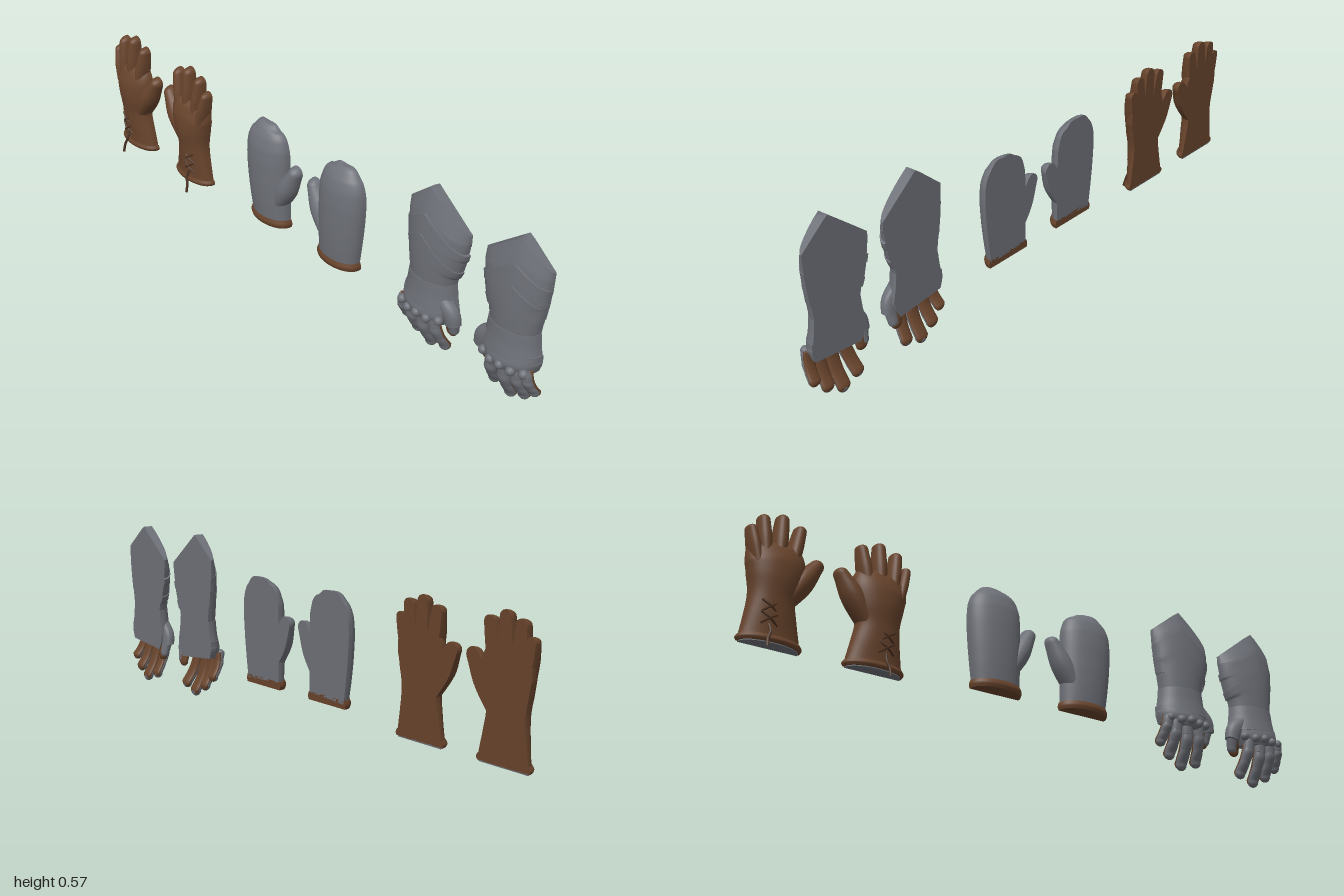
import * as THREE from 'three';

const mat = (name, color) => {
  const m = new THREE.MeshStandardMaterial({ color });
  m.name = name;
  return m;
};
const leather = mat('brown leather', 0x68442c);
const darkLeather = mat('dark lace', 0x4a2f1e);
const steel = mat('grey steel', 0x6e7178);
const BACK = -0.033; // flat back plane
const V = (x, y, z = 0) => new THREE.Vector3(x, y, z);

// Lofts a domed section along rows of [x, y, halfWidth, frontDepth, z, backDepth, chevron].
function loft(rows, { round = false, steps = 5 } = {}) {
  const full = rows.map(([x, y, w, d, z = BACK, b = 0, c = 0]) => [x, y, w, d, z, b, c]);
  const curve = (f) => new THREE.CatmullRomCurve3(full.map(f));
  const path = curve((r) => V(r[0], r[1], r[4]));
  const size = curve((r) => V(r[2], r[3], r[5]));
  const chev = curve((r) => V(r[6], 0, 0));
  const n = (full.length - 1) * steps;
  const rings = [];
  for (let i = 0; i <= n; i++) {
    const p = path.getPoint(i / n), s = size.getPoint(i / n);
    rings.push({ p, w: s.x, d: s.y, b: s.z, c: chev.getPoint(i / n).x });
  }
  rings.forEach((r, i) => {
    const a = rings[Math.max(0, i - 1)].p, b = rings[Math.min(n, i + 1)].p;
    r.t = V(b.x - a.x, b.y - a.y).normalize();
  });
  if (round) { // rounded tip
    const e = rings[n];
    for (let k = 1; k <= 6; k++) {
      const a = (k / 6) * Math.PI / 2, q = Math.max(Math.cos(a), 0.01);
      rings.push({ p: e.p.clone().addScaledVector(e.t, e.w * Math.sin(a)), w: e.w * q, d: e.d * q, b: e.b * q, c: 0, t: e.t });
    }
  }
  const N = 20, pos = [], idx = [];
  const strip = (grid) => {
    const o = pos.length / 3, m = grid[0].length;
    grid.flat().forEach((v) => pos.push(v.x, v.y, v.z));
    for (let i = 0; i < grid.length - 1; i++) for (let j = 0; j < m - 1; j++) {
      const a = o + i * m + j, b = a + m;
      idx.push(a, b, a + 1, b, b + 1, a + 1);
    }
  };
  const section = (r, front) => Array.from({ length: N + 1 }, (_, j) => {
    const t = (j / N) * Math.PI, s = Math.cos(t);
    const k = s < -0.17 ? (s + 0.17) / -0.83 : (s + 0.17) / 1.17;
    const z = (front ? r.d : -r.b) * Math.pow(Math.abs(Math.sin(t)), 0.85);
    return V(r.p.x + r.t.y * r.w * s, r.p.y - r.t.x * r.w * s + r.c * (1 - k) - 0.015 * s * (r.c > 0.05 ? 1 : 0), r.p.z + z);
  });
  const fronts = rings.map((r) => section(r, true));
  const backs = rings.map((r) => section(r, false));
  strip(fronts);
  strip(backs.map((r) => [...r].reverse()));
  strip([backs[0], fronts[0]]);
  strip([fronts.at(-1), backs.at(-1)]);
  const g = new THREE.BufferGeometry();
  g.setAttribute('position', new THREE.Float32BufferAttribute(pos, 3));
  g.setIndex(idx);
  g.computeVertexNormals();
  return g;
}

function add(group, name, geometry, material) {
  const m = new THREE.Mesh(geometry, material);
  m.name = name;
  group.add(m);
}
const cord = (pts, r) => new THREE.TubeGeometry(new THREE.CatmullRomCurve3(pts.map((p) => V(...p))), 12, r, 6);

// Copies a hand across the plane x = c, keeping faces outward
function mirrored(hand, c, name) {
  const out = new THREE.Group();
  out.name = name;
  for (const m of hand.children) {
    const g = m.geometry.clone().scale(-1, 1, 1).translate(2 * c, 0, 0);
    const a = g.index.array;
    for (let i = 0; i < a.length; i += 3) [a[i], a[i + 1]] = [a[i + 1], a[i]];
    add(out, m.name, g, m.material);
  }
  return out;
}

function leatherGlove() {
  const g = new THREE.Group();
  add(g, 'palm and cuff', loft([
    [-0.895, 0.092, 0.093, 0.047], [-0.896, 0.12, 0.088, 0.048], [-0.898, 0.17, 0.079, 0.053],
    [-0.9, 0.23, 0.071, 0.058], [-0.897, 0.29, 0.083, 0.066], [-0.897, 0.34, 0.091, 0.065],
    [-0.905, 0.385, 0.085, 0.05], [-0.908, 0.405, 0.072, 0.034]]), leather);
  add(g, 'hem', loft([[-0.895, 0.086, 0.094, 0.05], [-0.895, 0.095, 0.099, 0.054], [-0.895, 0.106, 0.094, 0.05]]), leather);
  add(g, 'cuff opening', loft([[-0.895, 0.083, 0.089, 0.045], [-0.895, 0.088, 0.089, 0.045]]), steel);
  // pinky, ring, middle, index: base x, base y, tip x, tip y, half width
  for (const [bx, by, tx, ty, w] of [
    [-0.958, 0.33, -0.981, 0.438, 0.019], [-0.935, 0.35, -0.947, 0.479, 0.022],
    [-0.895, 0.35, -0.89, 0.495, 0.023], [-0.856, 0.34, -0.833, 0.474, 0.022]]) {
    add(g, 'finger', loft([[bx, by, w, 0.05], [(bx + tx) / 2, (by + ty) / 2, w * 1.06, 0.047], [tx, ty, w * 0.9, 0.036]], { round: true }), leather);
  }
  add(g, 'thumb', loft([[-0.865, 0.225, 0.025, 0.045], [-0.817, 0.305, 0.036, 0.052], [-0.773, 0.375, 0.023, 0.036]], { round: true }), leather);
  // Crossed lacing with a hanging end
  for (const y of [0.135, 0.172]) for (const s of [-1, 1]) {
    add(g, 'lace', cord([[-0.915 - s * 0.025, y, 0.014], [-0.915, y + 0.018, 0.023], [-0.915 + s * 0.025, y + 0.036, 0.016]], 0.0035), darkLeather);
  }
  add(g, 'lace end', cord([[-0.915, 0.135, 0.018], [-0.912, 0.11, 0.028], [-0.92, 0.085, 0.034], [-0.922, 0.056, 0.041]], 0.0045), darkLeather);
  return g;
}

function mitten() {
  const g = new THREE.Group();
  add(g, 'mitten body', loft([
    [-0.152, 0.135, 0.083, 0.054], [-0.156, 0.2, 0.088, 0.06], [-0.16, 0.27, 0.092, 0.063],
    [-0.163, 0.34, 0.094, 0.063], [-0.163, 0.395, 0.092, 0.059], [-0.161, 0.435, 0.079, 0.048],
    [-0.16, 0.46, 0.057, 0.033], [-0.158, 0.473, 0.028, 0.016], [-0.158, 0.476, 0.002, 0.001]]), steel);
  add(g, 'cuff trim', loft([[-0.152, 0.115, 0.088, 0.056], [-0.152, 0.128, 0.091, 0.06], [-0.152, 0.142, 0.087, 0.056]]), leather);
  add(g, 'mitten thumb', loft([[-0.115, 0.185, 0.025, 0.045], [-0.072, 0.265, 0.036, 0.05], [-0.034, 0.34, 0.024, 0.036]], { round: true }), steel);
  return g;
}

function gauntlet() {
  const g = new THREE.Group();
  // Forearm lames, each overlapping the one above
  add(g, 'upper lame', loft([[0.586, 0.4, 0.11, 0.058], [0.587, 0.44, 0.115, 0.054, BACK, 0, 0.045], [0.587, 0.485, 0.117, 0.035, BACK, 0, 0.093]]), steel);
  add(g, 'middle lame', loft([[0.582, 0.33, 0.098, 0.064], [0.585, 0.38, 0.108, 0.064, BACK, 0, 0.04], [0.587, 0.42, 0.116, 0.06, BACK, 0, 0.08]]), steel);
  add(g, 'lower lame', loft([[0.578, 0.27, 0.083, 0.063], [0.579, 0.31, 0.089, 0.067, BACK, 0, 0.04], [0.582, 0.355, 0.104, 0.068, BACK, 0, 0.08]]), steel);
  // Hand plates
  add(g, 'wrist plate', loft([[0.578, 0.282, 0.086, 0.066], [0.578, 0.24, 0.091, 0.068], [0.578, 0.19, 0.102, 0.074]]), steel);
  add(g, 'hand plate', loft([[0.577, 0.205, 0.1, 0.07], [0.574, 0.175, 0.097, 0.076], [0.571, 0.145, 0.085, 0.066]]), steel);
  for (let i = 0; i < 5; i++) {
    const x = 0.498 + i * 0.037;
    add(g, 'knuckle', new THREE.SphereGeometry(0.015, 14, 10).translate(x, 0.164 - 0.004 * (i % 2), 0.038 - 3 * (x - 0.572) ** 2), steel);
  }
  // Fingers: leather core with three overlapping shells
  for (const [bx, tx, ty, w] of [[0.497, 0.484, 0.088, 0.018], [0.532, 0.524, 0.052, 0.02], [0.574, 0.576, 0.026, 0.021], [0.617, 0.635, 0.044, 0.02]]) {
    const path = new THREE.CatmullRomCurve3([
      V(bx, 0.17, 0.012), V((bx + tx) / 2, 0.17 + (ty - 0.17) * 0.5, 0.006), V(tx, ty, -0.018 - (0.1 - ty) * 0.2)]);
    const row = (t, k) => {
      const p = path.getPoint(t);
      return [p.x, p.y, w * k, 0.018 * k, p.z, 0.013 * k];
    };
    add(g, 'finger core', loft([0, 0.33, 0.66, 0.97].map((t) => {
      const [x, y, , , z] = row(t, 1);
      return [x, y, w * 1.06, 0.006, z - 0.005, 0.01];
    }), { round: true }), leather);
    for (let s = 0; s < 3; s++) {
      add(g, 'finger shell', loft([row(s / 3, 0.9), row(s / 3 + 0.17, 1.02), row(Math.min(1, s / 3 + 0.36), 0.96)], { round: s === 2, steps: 4 }), steel);
    }
  }
  // Thumb
  add(g, 'thumb core', loft([[0.635, 0.21, 0.026, 0.02, -0.012, 0.014], [0.664, 0.16, 0.025, 0.016, -0.014, 0.014], [0.664, 0.118, 0.02, 0.011, -0.022, 0.012]], { round: true }), leather);
  add(g, 'thumb shell', loft([[0.64, 0.225, 0.022, 0.03, -0.01, 0.012], [0.668, 0.188, 0.03, 0.028, -0.01, 0.017], [0.678, 0.152, 0.026, 0.024, -0.012, 0.017]]), steel);
  add(g, 'thumb tip shell', loft([[0.676, 0.165, 0.021, 0.02, -0.013, 0.015], [0.673, 0.125, 0.017, 0.015, -0.02, 0.014]], { round: true }), steel);
  return g;
}

export function createModel() {
  const model = new THREE.Group();
  model.name = 'gloves';
  for (const [name, build, centre] of [['leather glove', leatherGlove, -0.7325], ['mitten', mitten, 0.0115], ['gauntlet', gauntlet, 0.7335]]) {
    const hand = build();
    hand.name = `${name} right`;
    model.add(hand, mirrored(hand, centre, `${name} left`));
  }
  return model;
}
